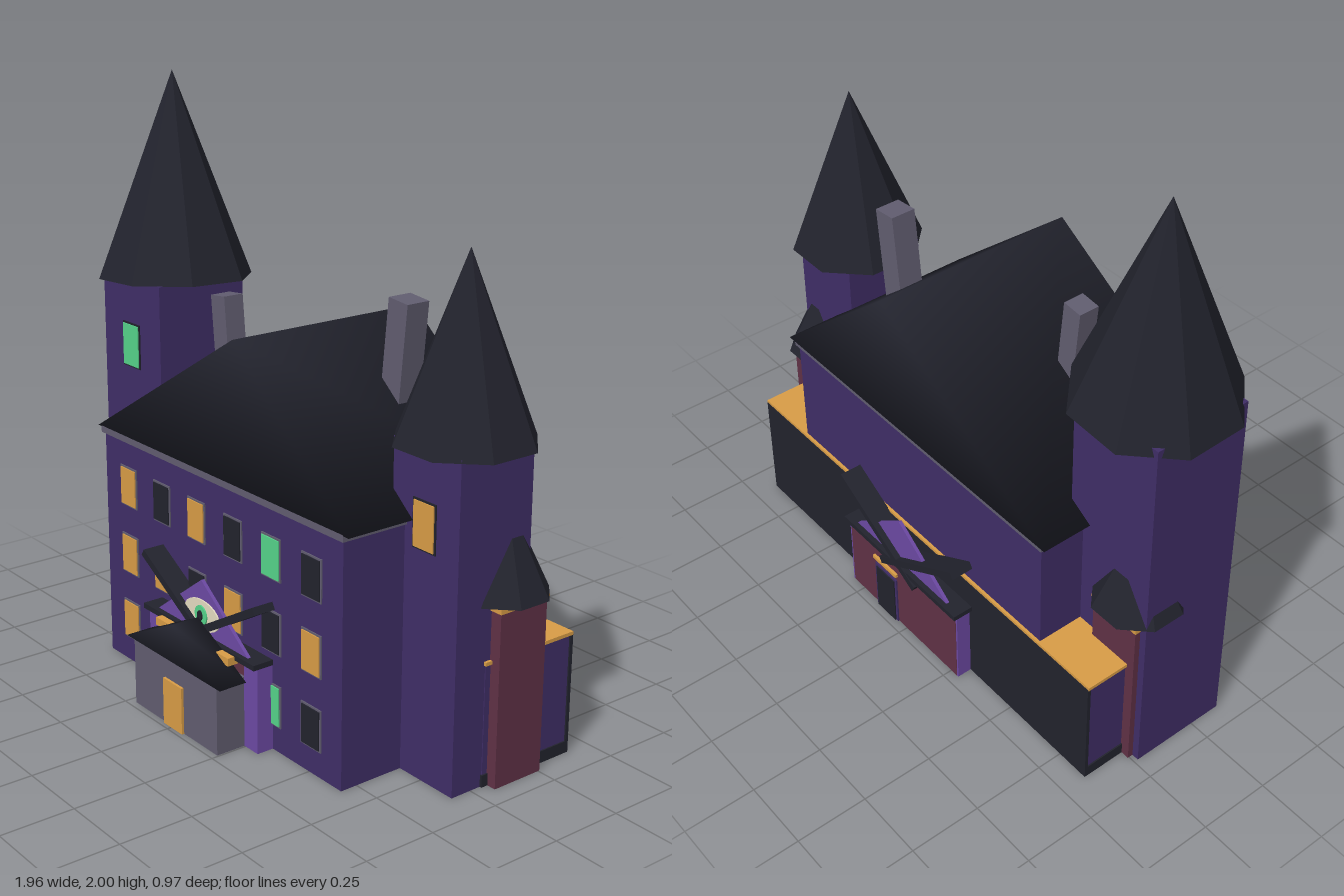
import * as THREE from 'three';

const mat = (name, color, side = THREE.FrontSide) => {
  const m = new THREE.MeshStandardMaterial({ color, side });
  m.name = name;
  return m;
};

export function createModel() {
  const group = new THREE.Group();
  const wall = mat('wallPurple', 0x402e67);
  const violet = mat('violet', 0x6c49a3);
  const maroon = mat('maroon', 0x603146);
  const stone = mat('stoneGrey', 0x615d70);
  const roof = mat('roofBlack', 0x22232d);
  const amber = mat('amber', 0xd89c46);
  const green = mat('glowGreen', 0x55d48a);
  const cream = mat('cream', 0xe6dcc2);
  roof.flatShading = false;

  const add = (name, geo, material) => {
    const mesh = new THREE.Mesh(geo, material);
    mesh.name = name;
    group.add(mesh);
    return mesh;
  };
  // box given by its limits on each axis
  const box = (name, material, x0, x1, y0, y1, z0, z1) => {
    const mesh = add(name, new THREE.BoxGeometry(x1 - x0, y1 - y0, z1 - z0), material);
    mesh.position.set((x0 + x1) / 2, (y0 + y1) / 2, (z0 + z1) / 2);
    return mesh;
  };
  // gabled roof with an off-centre ridge along z, softly shaded
  const gable = (name, x0, x1, xa, y0, y1, z0, z1) => {
    const geo = new THREE.BufferGeometry();
    geo.setAttribute('position', new THREE.Float32BufferAttribute([
      x0, y0, z0, x1, y0, z0, xa, y1, z0, x0, y0, z1, x1, y0, z1, xa, y1, z1], 3));
    geo.setIndex([3, 4, 5, 1, 0, 2, 0, 1, 4, 0, 4, 3, 1, 2, 5, 1, 5, 4, 0, 3, 5, 0, 5, 2]);
    geo.computeVertexNormals();
    return add(name, geo, roof);
  };
  // eight-sided spire, flat sides on the axes, base at (x, y, z)
  const spire = (name, apothem, height, x, y, z, tiltX = 0, tiltZ = 0) => {
    let geo = new THREE.ConeGeometry(apothem / Math.cos(Math.PI / 8), height, 8);
    geo.rotateY(Math.PI / 8).translate(0, height / 2, 0);
    geo = geo.toNonIndexed();
    geo.computeVertexNormals();
    const mesh = add(name, geo, roof);
    mesh.position.set(x, y, z);
    mesh.rotation.set(tiltX, 0, tiltZ);
  };
  // pane with a thin frame behind it, facing +z
  const windowAt = (material, x, y, z, w = 0.085, h = 0.13, frame = roof) => {
    box('windowFrame', frame, x - w / 2 - 0.006, x + w / 2 + 0.006,
      y - h / 2 - 0.006, y + h / 2 + 0.006, z - 0.002, z + 0.004);
    box('windowPane', material, x - w / 2, x + w / 2, y - h / 2, y + h / 2, z, z + 0.008);
  };

  // main house
  box('mainBody', wall, -0.63, 0.655, 0, 0.812, -0.4, 0.31);
  box('cornice', stone, -0.64, 0.665, 0.81, 0.833, -0.41, 0.32);
  gable('mainRoof', -0.66, 0.69, 0.13, 0.83, 1.3, -0.415, 0.32);

  // front windows, row by row from the top
  const panes = { a: amber, d: roof, g: green };
  ['adadgd', 'aadada', 'agadgd'].forEach((row, r) => {
    [...row].forEach((c, i) => {
      windowAt(panes[c], -0.487 + i * 0.1995, 0.65 - r * 0.246, 0.31, 0.085, 0.13, stone);
    });
  });

  // crooked chimneys
  const chimney = (x, y, z, size, height, tilt) => {
    const mesh = add('chimney', new THREE.BoxGeometry(size, height, size), stone);
    mesh.position.set(x, y, z);
    mesh.rotation.z = tilt;
  };
  chimney(-0.275, 1.14, 0.035, 0.075, 0.36, 0.1);
  chimney(0.363, 1.2, -0.165, 0.088, 0.41, -0.1);

  // tall tower and short tower
  box('tallTower', wall, -0.925, -0.575, 0, 1.3, -0.235, 0.115);
  spire('tallTowerRoof', 0.252, 0.712, -0.73, 1.289, -0.06, -0.04, 0.062);
  windowAt(green, -0.752, 1.06, 0.115, 0.092, 0.148);
  box('shortTower', wall, 0.6, 0.89, 0, 1.07, -0.215, 0.075);
  spire('shortTowerRoof', 0.21, 0.58, 0.745, 1.06, -0.075);
  windowAt(amber, 0.743, 0.828, 0.075, 0.088, 0.146);

  // corner turrets set into the towers
  for (const x of [-0.805, 0.835]) {
    box('turret', maroon, x - 0.095, x + 0.095, 0, 0.58, -0.255, -0.065);
    box('turretBand', amber, x - 0.1, x + 0.1, 0.575, 0.592, -0.26, -0.06);
    spire('turretRoof', 0.14, 0.315, x, 0.592, -0.16);
  }

  // low rear wing with trim, plinth and dark back wall
  box('rearWing', wall, -0.865, 0.893, 0, 0.405, -0.4, -0.045);
  box('rearWingTop', amber, -0.872, 0.9, 0.403, 0.415, -0.41, -0.04);
  box('rearWingPlinth', roof, -0.87, 0.898, 0, 0.04, -0.4, -0.04);
  box('rearWingBackWall', roof, -0.87, 0.898, 0, 0.405, -0.412, -0.4);

  // portals front and back: pillars, canopy, gable plate and crossed beams
  const cx = 0.013;
  for (const s of [1, -1]) {
    const zBox = (name, material, x0, x1, y0, y1, za, zb) =>
      box(name, material, x0, x1, y0, y1, Math.min(s * za, s * zb), Math.max(s * za, s * zb));
    const z0 = s > 0 ? 0.3 : 0.4;
    const pillar = s > 0 ? 0.07 : 0.008;
    zBox('portalCore', maroon, -0.28, 0.308, 0, 0.29, z0, z0 + 0.065);
    zBox('portalPillar', violet, -0.287, -0.287 + pillar, 0, 0.29, z0, z0 + (s > 0 ? 0.07 : 0.064));
    zBox('portalPillar', violet, 0.315 - pillar, 0.315, 0, 0.29, z0, z0 + (s > 0 ? 0.07 : 0.064));
    zBox('canopy', roof, -0.3, 0.316, 0.29, 0.308, z0, z0 + 0.085);

    const tri = new THREE.Shape([[-0.26, 0.3], [0.26, 0.3], [0, 0.49]]
      .map(([x, y]) => new THREE.Vector2(x, y)));
    const plate = add('portalGable',
      new THREE.ExtrudeGeometry(tri, { depth: 0.012, bevelEnabled: false }), violet);
    plate.position.set(cx, 0, s > 0 ? 0.355 : -0.467);

    for (const m of [1, -1]) {
      const beam = add('crossedBeam', new THREE.BoxGeometry(0.46, 0.026, 0.08), roof);
      beam.position.set(cx + m * 0.108, 0.378, s * (z0 + 0.048));
      beam.rotation.z = m * 0.52;
    }
  }

  // painted eye on the front gable
  const disc = (name, material, rx, ry, z) => {
    const mesh = add(name, new THREE.CylinderGeometry(1, 1, 0.006, 24).rotateX(Math.PI / 2), material);
    mesh.scale.set(rx, ry, 1);
    mesh.position.set(0.02, 0.372, z);
  };
  disc('eyeWhite', cream, 0.095, 0.052, 0.369);
  disc('eyeIris', green, 0.032, 0.034, 0.374);
  disc('eyePupil', roof, 0.012, 0.018, 0.379);

  // plain amber sign boards and back door
  box('frontSign', amber, -0.19, 0.215, 0.275, 0.302, 0.37, 0.41);
  box('backSign', amber, 0.04, 0.17, 0.215, 0.228, -0.475, -0.46);
  box('backDoorFrame', wall, 0.045, 0.165, 0, 0.195, -0.47, -0.46);
  box('backDoor', roof, 0.055, 0.155, 0, 0.185, -0.474, -0.466);

  // porch
  box('porch', stone, -0.22, 0.245, 0, 0.24, 0.365, 0.476);
  gable('porchRoof', -0.25, 0.277, 0.02, 0.237, 0.368, 0.385, 0.486);
  box('frontDoor', amber, -0.042, 0.062, 0, 0.162, 0.476, 0.485);

  return group;
}
